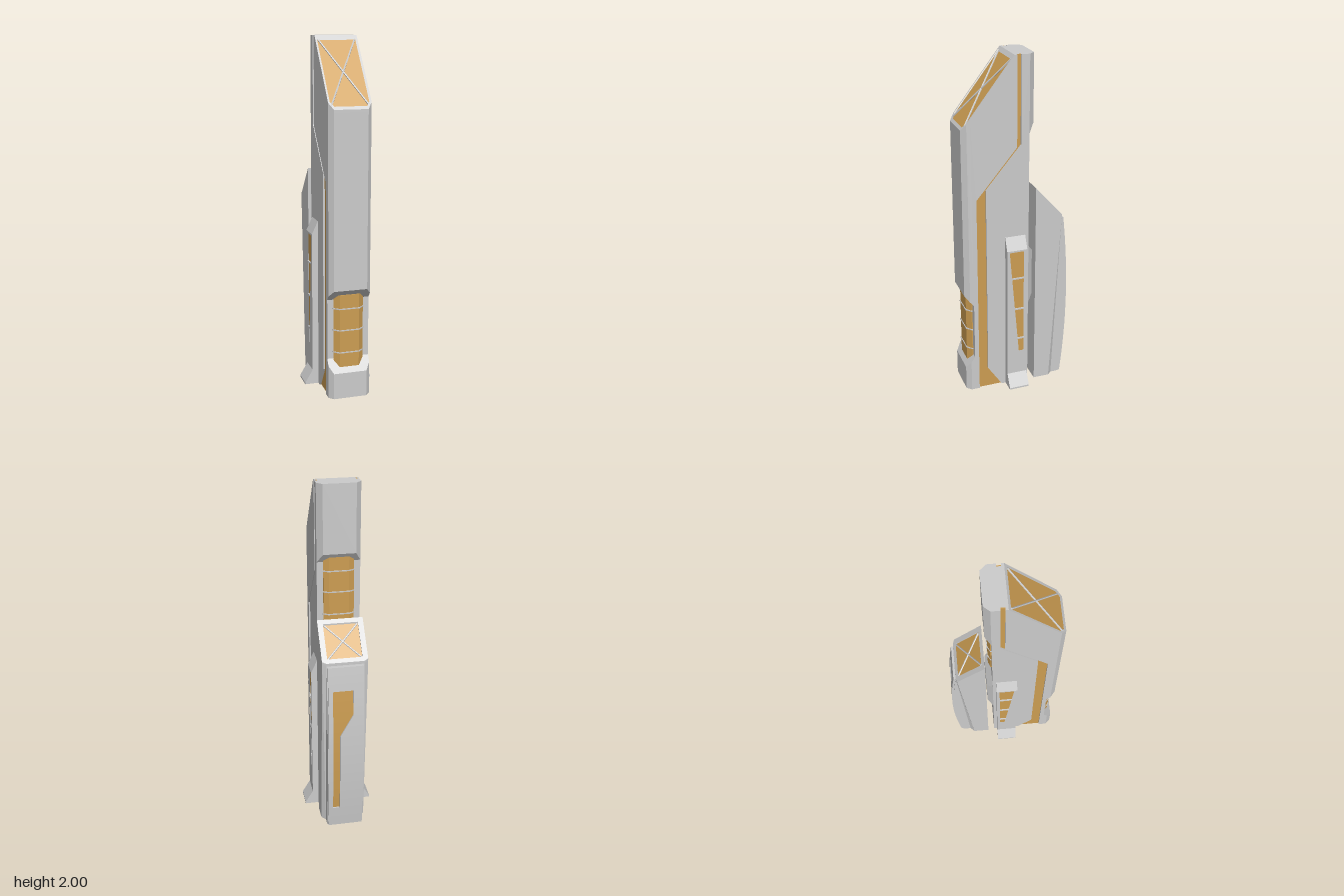
import * as THREE from 'three';

const grey = new THREE.MeshStandardMaterial({ color: 0xcccccc, flatShading: true });
const gold = new THREE.MeshStandardMaterial({ color: 0xcc9d52, flatShading: true });
const fn = (f) => (typeof f === 'function' ? f : () => f);

function makeShape(points, hole) {
  const shape = new THREE.Shape(points.map(([a, b]) => new THREE.Vector2(a, b)));
  if (hole) shape.holes.push(new THREE.Path(hole.map(([a, b]) => new THREE.Vector2(a, b))));
  return shape;
}

function addMesh(group, name, geometry, material) {
  geometry.computeVertexNormals();
  const mesh = new THREE.Mesh(geometry, material);
  mesh.name = name;
  group.add(mesh);
  return mesh;
}

// Upright prism: plan outline [x, z], bottom and top heights may depend on z
function prism(group, name, plan, bottom, top, material = grey, hole = null) {
  const flip = (pts) => pts && pts.map(([x, z]) => [x, -z]);
  const g = new THREE.ExtrudeGeometry(makeShape(flip(plan), flip(hole)), { depth: 1, bevelEnabled: false });
  g.rotateX(-Math.PI / 2);
  const p = g.attributes.position, lo = fn(bottom), hi = fn(top);
  for (let i = 0; i < p.count; i++) {
    const z = p.getZ(i);
    p.setY(i, p.getY(i) > 0.5 ? hi(z) : lo(z));
  }
  return addMesh(group, name, g, material);
}

// Sideways slab: profile [z, y], x limits may depend on y
function slab(group, name, profile, xa, xb, material = grey, hole = null) {
  const flip = (pts) => pts && pts.map(([z, y]) => [-z, y]);
  const g = new THREE.ExtrudeGeometry(makeShape(flip(profile), flip(hole)), { depth: 1, bevelEnabled: false });
  g.rotateY(Math.PI / 2);
  const p = g.attributes.position, a = fn(xa), b = fn(xb);
  for (let i = 0; i < p.count; i++) {
    const y = p.getY(i);
    p.setX(i, p.getX(i) > 0.5 ? b(y) : a(y));
  }
  return addMesh(group, name, g, material);
}

// Slab on one side of the model, side = 1 or -1
const sideSlab = (group, name, profile, side, inner, outer, material, hole) =>
  slab(group, name, profile, Math.min(side * inner, side * outer), Math.max(side * inner, side * outer), material, hole);

// Symmetric plan from its +x half
const mirrored = (half) => [...half, ...half.map(([x, z]) => [-x, z]).reverse()];

function rod(group, name, a, b, r) {
  const dir = new THREE.Vector3().subVectors(b, a);
  const m = addMesh(group, name, new THREE.CylinderGeometry(r, r, dir.length(), 6), grey);
  m.position.addVectors(a, b).multiplyScalar(0.5);
  m.quaternion.setFromUnitVectors(new THREE.Vector3(0, 1, 0), dir.normalize());
}

// Framed sloping skylight with a diagonal cross
function skylight(group, name, plan, hole, roof, depth, cross) {
  prism(group, name + 'Frame', plan, (z) => roof(z) - depth, roof, grey, hole);
  prism(group, name + 'Glazing', hole, (z) => roof(z) - depth - 0.004, (z) => roof(z) - depth + 0.003, gold);
  const [hx, z0, z1] = cross;
  for (const s of [-1, 1]) {
    rod(group, name + 'CrossBar',
      new THREE.Vector3(-s * hx, roof(z0) - 0.006, z0),
      new THREE.Vector3(s * hx, roof(z1) - 0.006, z1), 0.005);
  }
}

// Chamfered window block with thin floor bands; dir = outward z direction
function windowBay(group, name, hw, z0, z1, y0, y1, bands) {
  const d = Math.sign(z1 - z0);
  const plan = (o) => mirrored([[hw + o, z0], [hw + o, z0 + d * 0.006], [hw - 0.03 + o, z1 + d * o]]);
  prism(group, name + 'Windows', plan(0), y0, y1, gold);
  for (const y of bands) prism(group, name + 'Band', plan(0.004), y - 0.003, y + 0.003);
}

function mainTower(group) {
  const D = 0.014;
  const roof = (z) => 2 - Math.max(0, z - 0.02) * 1.29;
  const under = (z) => roof(z) - D;

  slab(group, 'towerCore', [[-0.065, 0], [0.265, 0], [0.265, under(0.265)], [0.02, 2 - D], [0.02, 2], [-0.065, 2]],
    -0.105, 0.105);
  for (const s of [-1, 1]) {
    // Cladding on both sides of the recessed light strip
    sideSlab(group, 'frontSideCladding', [[0.265, 0], [0.265, under(0.265)], [0.02, 2 - D], [0.02, 2],
      [0.005, 2], [0.005, 1.5], [0.24, 1.22], [0.24, 0]], s, 0.105, 0.12);
    sideSlab(group, 'rearSideCladding', [[-0.065, 0], [0.1, 0], [0.185, 0.13], [0.185, 1.27],
      [-0.018, 1.51], [-0.018, 2], [-0.065, 2]], s, 0.105, 0.12);
    sideSlab(group, 'sideLightStrip', [[0.1, 0], [0.24, 0], [0.24, 1.22], [0.005, 1.5], [0.005, 2],
      [-0.018, 2], [-0.018, 1.51], [0.185, 1.27], [0.185, 0.13]], s, 0.104, 0.11, gold);
  }

  // Chamfered front, broken by the window recess
  const front = mirrored([[0.12, 0.265], [0.12, 0.288], [0.095, 0.315]]);
  prism(group, 'upperFront', front, (z) => 0.57 + (z - 0.265) * 1.2, under);
  prism(group, 'lowerFront', front, 0, (z) => 0.225 - (z - 0.265) * 1.5);
  windowBay(group, 'front', 0.085, 0.265, 0.296, 0.18, 0.6, [0.265, 0.395, 0.52]);

  skylight(group, 'mainRoof', mirrored([[0.12, 0.02], [0.12, 0.288], [0.095, 0.315]]),
    mirrored([[0.11, 0.032], [0.11, 0.284], [0.09, 0.303]]), roof, D, [0.104, 0.034, 0.295]);

  // Back spine
  const spine = mirrored([[0.12, -0.065], [0.09, -0.098]]);
  prism(group, 'upperSpine', spine, (z) => 1.57 + (-0.065 - z) * 1.5, 2);
  prism(group, 'lowerSpine', spine, (z) => 0.53 + (-0.065 - z) * 1.3, (z) => 0.9 - (-0.065 - z) * 1.3);
  windowBay(group, 'back', 0.085, -0.065, -0.084, 1.15, 1.6, [1.27, 1.4, 1.52]);
}

function sidePods(group) {
  for (const s of [-1, 1]) {
    const pod = new THREE.Group();
    pod.name = s > 0 ? 'leftPod' : 'rightPod';
    group.add(pod);
    // Stepped body with a flared foot
    const outline = [[0.115, 0], [0.2, 0], [0.2, 0.01], [0.155, 0.085], [0.142, 0.085],
      [0.142, 0.9], [0.155, 0.9], [0.12, 0.975], [0.115, 0.975]].map(([x, y]) => [s * x, y]);
    const g = new THREE.ExtrudeGeometry(makeShape(outline), { depth: 0.12, bevelEnabled: false });
    g.translate(0, 0, -0.045);
    addMesh(pod, 'podBody', g, grey);
    // Face plate with tapered window
    const win = [[0.06, 0.89], [-0.028, 0.89], [-0.028, 0.23], [0.003, 0.23]];
    sideSlab(pod, 'podFace', [[0.075, 0.085], [0.075, 0.9], [-0.045, 0.9], [-0.045, 0.085]], s, 0.142, 0.155, grey, win);
    sideSlab(pod, 'podWindow', win, s, 0.14, 0.147, gold);
    for (const y of [0.32, 0.52, 0.72]) {
      const zf = 0.003 + 0.057 * (y - 0.23) / 0.66;
      sideSlab(pod, 'podWindowBar', [[zf, y - 0.004], [zf, y + 0.004], [-0.028, y + 0.004], [-0.028, y - 0.004]],
        s, 0.142, 0.155);
    }
  }
}

function rearTower(group) {
  const D = 0.012;
  const roof = (z) => 1.25 - (-0.105 - z) * 1.125;

  // Body tapering towards its foot
  const body = prism(group, 'rearBody', mirrored([[0.128, -0.105], [0.128, -0.264], [0.105, -0.272]]),
    0, (z) => roof(z) - D);
  const p = body.geometry.attributes.position;
  for (let i = 0; i < p.count; i++) {
    if (p.getY(i) < 0.01 && p.getZ(i) < -0.2) p.setZ(i, p.getZ(i) < -0.268 ? -0.225 : -0.2);
  }
  body.geometry.computeVertexNormals();
  skylight(group, 'rearRoof', mirrored([[0.128, -0.105], [0.128, -0.264], [0.105, -0.272]]),
    mirrored([[0.098, -0.122], [0.098, -0.256]]), roof, D, [0.094, -0.124, -0.254]);

  // Bowed back panel with a stepped light slot
  const bulge = (y) => -0.285 - 0.031 * (1 - ((y - 0.52) / 0.52) ** 2);
  const bowed = (y0, y1, outer, inner) => {
    const n = Math.max(2, Math.ceil((y1 - y0) / 0.065));
    const ys = Array.from({ length: n + 1 }, (_, i) => y0 + (y1 - y0) * i / n);
    return [...ys.map((y) => [bulge(y) + outer, y]), ...ys.reverse().map((y) => [bulge(y) + inner, y])];
  };
  const core = bowed(0, 1.04, 0.012, 0.012).slice(0, 17);
  slab(group, 'backPanelCore', [...core, [-0.268, 1.065], [-0.24, 1.065], [-0.19, 0]], -0.105, 0.105);
  const strip = (y0, y1, xa, xb) => slab(group, 'backPanelSkin', bowed(y0, y1, 0, 0.013), xa, xb);
  strip(0, 0.13, -0.1, 0.1);
  strip(0.9, 1.04, -0.1, 0.1);
  strip(0.13, 0.9, 0.075, 0.1);
  strip(0.13, 0.62, -0.1, 0.035);
  strip(0.62, 0.75, -0.1, (y) => 0.035 - 0.075 * (y - 0.62) / 0.13);
  strip(0.75, 0.9, -0.1, -0.04);
  slab(group, 'backLightSlot', bowed(0.13, 0.9, 0.009, 0.014), -0.045, 0.078, gold);
}

export function createModel() {
  const model = new THREE.Group();
  model.name = 'skyscraper';
  for (const [name, build] of [['mainTower', mainTower], ['sidePods', sidePods], ['rearTower', rearTower]]) {
    const part = new THREE.Group();
    part.name = name;
    build(part);
    model.add(part);
  }
  return model;
}
